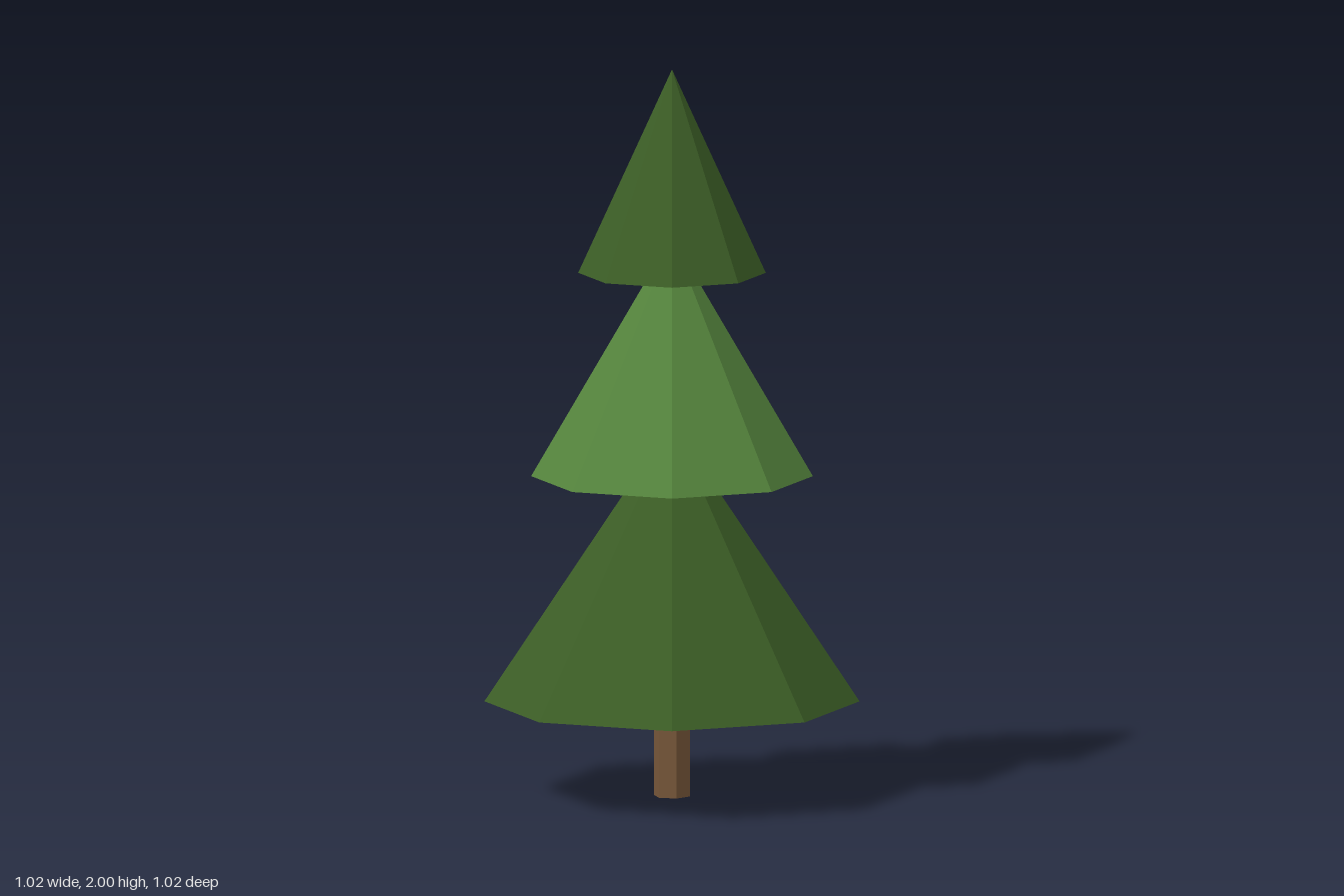
import * as THREE from 'three';

export function createModel() {
  const tree = new THREE.Group();
  tree.name = 'pineTree';

  const material = (name, color) => {
    const m = new THREE.MeshStandardMaterial({ color, flatShading: true });
    m.name = name;
    return m;
  };
  const bark = material('barkBrown', 0x765639);
  const darkGreen = material('darkGreen', 0x3c5e26);
  const lightGreen = material('lightGreen', 0x55853d);

  const addPart = (name, geometry, mat, base, height) => {
    const mesh = new THREE.Mesh(geometry, mat);
    mesh.name = name;
    mesh.position.y = base + height / 2;
    tree.add(mesh);
  };

  // Six-sided trunk, reaching just into the lowest tier
  addPart('trunk', new THREE.CylinderGeometry(0.05, 0.05, 0.3, 6), bark, 0, 0.3);

  // Three stacked eight-sided tiers of foliage
  const tiers = [
    ['lowerFoliage', 0.51, 0.26, 0.77, darkGreen],
    ['middleFoliage', 0.383, 0.88, 0.66, lightGreen],
    ['upperFoliage', 0.255, 1.44, 0.56, darkGreen],
  ];
  for (const [name, radius, base, height, mat] of tiers) {
    addPart(name, new THREE.ConeGeometry(radius, height, 8), mat, base, height);
  }

  return tree;
}
